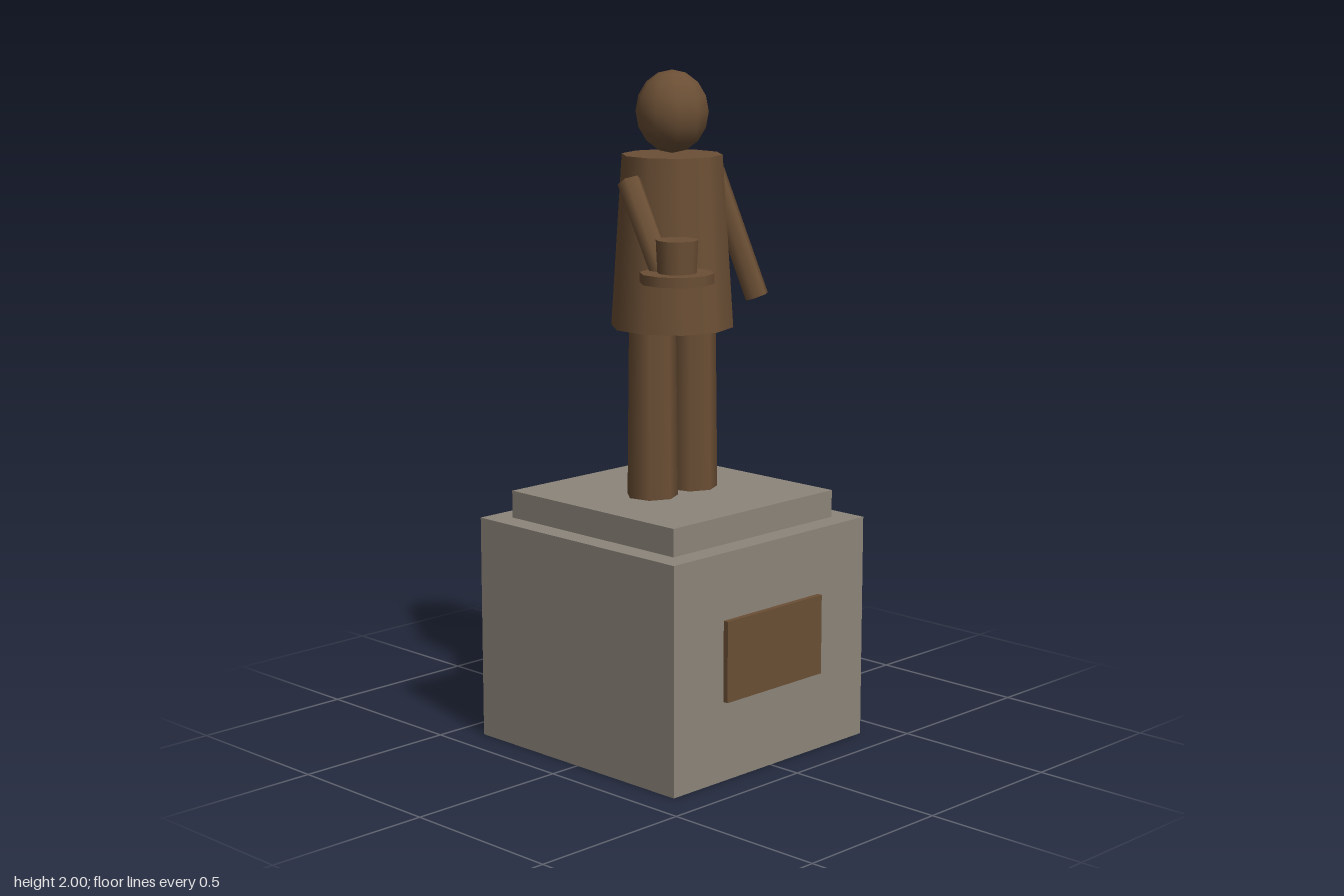
import * as THREE from 'three';

export function createModel() {
  const root = new THREE.Group();
  root.name = 'statueOnPlinth';

  const material = (name, color) => {
    const m = new THREE.MeshStandardMaterial({ color });
    m.name = name;
    return m;
  };
  const stone = material('stone', 0x8c857a);
  const bronze = material('bronze', 0x6b4f35);
  const dark = material('darkPatina', 0x3c423d);

  // Shared depth of the plinth and figure axis
  const Z = -0.008;

  function add(name, geometry, mat, x, y, z, parent = root) {
    const mesh = new THREE.Mesh(geometry, mat);
    mesh.name = name;
    mesh.position.set(x, y, z);
    parent.add(mesh);
    return mesh;
  }

  // Upright tapered prism between two heights
  function column(name, rTop, rBottom, y0, y1, sides, x, z) {
    const g = new THREE.CylinderGeometry(rTop, rBottom, y1 - y0, sides);
    return add(name, g, bronze, x, (y0 + y1) / 2, z);
  }

  // Six-sided limb between two points
  function limb(name, from, to, radius) {
    const a = new THREE.Vector3(...from), b = new THREE.Vector3(...to);
    const dir = a.clone().sub(b);
    const g = new THREE.CylinderGeometry(radius, radius, dir.length(), 6);
    const mid = a.add(b).multiplyScalar(0.5);
    const mesh = add(name, g, bronze, mid.x, mid.y, mid.z);
    mesh.quaternion.setFromUnitVectors(new THREE.Vector3(0, 1, 0), dir.normalize());
  }

  // Plinth: block with a dark underside, upper step and front plaque
  add('plinthBlock', new THREE.BoxGeometry(0.806, 0.675, 0.806),
    [stone, stone, stone, dark, stone, stone], 0, 0.3375, Z);
  add('plinthStep', new THREE.BoxGeometry(0.672, 0.082, 0.672), stone, 0, 0.716, Z);
  add('plaque', new THREE.BoxGeometry(0.402, 0.24, 0.026), bronze, 0, 0.357, 0.398);

  // Legs
  for (const [name, side] of [['leftLeg', 1], ['rightLeg', -1]]) {
    column(name, 0.071, 0.077, 0.757, 1.256, 7, side * 0.084, Z);
  }

  // Coat and head
  column('coat', 0.148, 0.181, 1.253, 1.757, 10, 0, Z);
  const head = add('head', new THREE.SphereGeometry(0.107, 10, 8), bronze, 0, 1.88, Z);
  head.scale.y = 0.12 / 0.107;
  head.rotation.y = Math.PI / 2;

  // Arms: left hangs forward and outward, right reaches to the saucer
  limb('leftArm', [0.174, 1.695, -0.01], [0.249, 1.324, 0.1], 0.036);
  limb('rightArm', [-0.174, 1.69, -0.008], [-0.203, 1.428, 0.165], 0.036);

  // Saucer and cup held in the right hand
  column('saucer', 0.106, 0.106, 1.424, 1.453, 10, -0.202, 0.21);
  column('cup', 0.0605, 0.056, 1.453, 1.546, 10, -0.202, 0.21);

  // Small handle on the inner rear of the cup
  const handle = add('cupHandle', new THREE.TorusGeometry(0.024, 0.009, 6, 10), dark,
    -0.165, 1.515, 0.167);
  handle.rotation.y = Math.PI / 4;

  return root;
}
